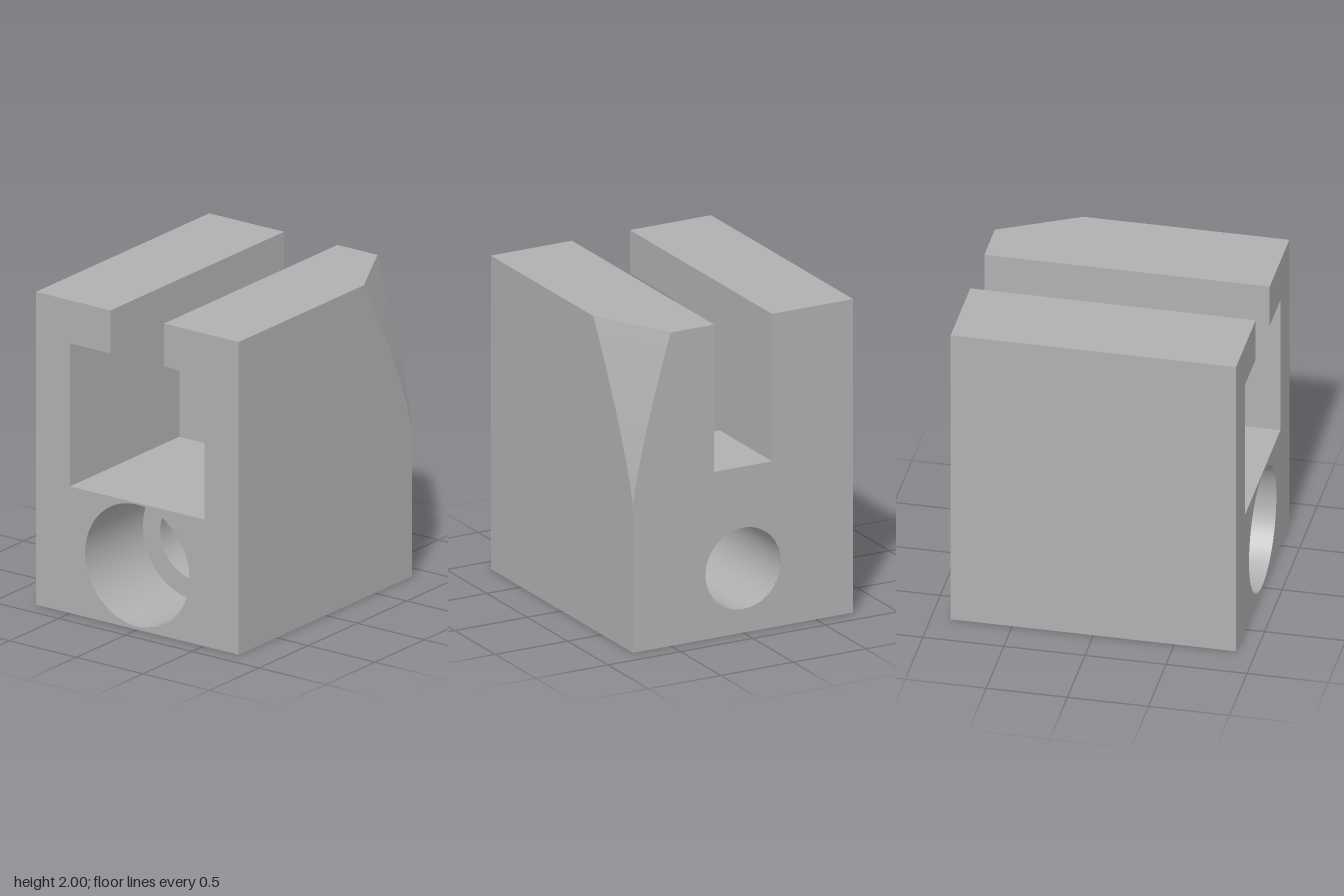
import * as THREE from 'three';
import { mergeGeometries } from 'three/addons/utils/BufferGeometryUtils.js';

// Overall block, slot and bore sizes
const X = 0.76, Z = 0.88, H = 2;
const SLOT = 0.2, SLOT_Y = 1.06;
const WIDE = 0.505, WIDE_Y0 = 0.81, WIDE_Y1 = 1.725, WIDE_Z = -0.23;
const BORE_Y = 0.41, R_FRONT = 0.39, R_BACK = 0.26, SHOULDER_Z = 0.295;

// Curved corner cut: from y = 0.92 at the corner up to the top
const cut = [];
for (let i = 0; i <= 24; i++) {
  const t = i / 24, k = Math.pow(t, 1.27);
  cut.push({ y: 0.92 + 1.08 * t, x: X - 0.26 * k, z: -Z + 0.49 * k });
}

// Flat face on an axis plane: points are [x,y] for z, [z,y] for x, [x,z] for y
function face(axis, dir, at, pts, holeRadius) {
  const flip = { x: [-dir, 1], y: [1, -dir], z: [dir, 1] }[axis];
  const shape = new THREE.Shape(pts.map(([a, b]) => new THREE.Vector2(a * flip[0], b * flip[1])));
  if (holeRadius) {
    shape.holes.push(new THREE.Path().absarc(0, BORE_Y, holeRadius, 0, Math.PI * 2, true));
  }
  const g = new THREE.ShapeGeometry(shape, 64);
  if (axis === 'x') g.rotateY(dir * Math.PI / 2).translate(at, 0, 0);
  if (axis === 'y') g.rotateX(-dir * Math.PI / 2).translate(0, at, 0);
  if (axis === 'z') g.rotateY(dir > 0 ? 0 : Math.PI).translate(0, 0, at);
  return g;
}

const rect = (a0, b0, a1, b1) => [[a0, b0], [a1, b0], [a1, b1], [a0, b1]];

// Inward-facing cylinder wall along z
function boreWall(r, zFront, zBack) {
  const profile = [new THREE.Vector2(r, zFront), new THREE.Vector2(r, zBack)];
  return new THREE.LatheGeometry(profile, 64).rotateX(Math.PI / 2).translate(0, BORE_Y, 0);
}

// Sloped surface between the cut's edges on the back and on the side
function cornerSurface() {
  const pos = [], idx = [];
  cut.forEach((p, i) => {
    pos.push(p.x, p.y, -Z, X, p.y, p.z);
    if (i) {
      const a = 2 * i - 2;
      if (i > 1) idx.push(a, a + 2, a + 1);
      idx.push(a + 2, a + 3, a + 1);
    }
  });
  // The lowest row is one point, so close it with a single triangle
  const g = new THREE.BufferGeometry();
  g.setAttribute('position', new THREE.Float32BufferAttribute(pos, 3));
  g.setIndex(idx);
  g.computeVertexNormals();
  const n = g.attributes.normal;
  n.setXYZ(0, n.getX(1), n.getY(1), n.getZ(1));
  return g;
}

export function createModel() {
  const group = new THREE.Group();
  const grey = new THREE.MeshStandardMaterial({ color: 0xb0b0b0 });
  grey.name = 'grey metal';
  const add = (name, parts) => {
    const mesh = new THREE.Mesh(parts.length > 1 ? mergeGeometries(parts) : parts[0], grey);
    mesh.name = name;
    group.add(mesh);
  };

  // Outer faces
  const top = cut[cut.length - 1];
  add('blockBody', [
    face('z', 1, Z, [[-X, 0], [X, 0], [X, H], [SLOT, H], [SLOT, WIDE_Y1], [WIDE, WIDE_Y1], [WIDE, WIDE_Y0],
      [-WIDE, WIDE_Y0], [-WIDE, WIDE_Y1], [-SLOT, WIDE_Y1], [-SLOT, H], [-X, H]], R_FRONT),
    face('z', -1, -Z, [[-X, 0], [X, 0], ...cut.map(p => [p.x, p.y]), [SLOT, H], [SLOT, SLOT_Y],
      [-SLOT, SLOT_Y], [-SLOT, H], [-X, H]], R_BACK),
    face('x', -1, -X, rect(-Z, 0, Z, H)),
    face('x', 1, X, [[Z, 0], [-Z, 0], ...cut.map(p => [p.z, p.y]), [Z, H]]),
    face('y', -1, 0, rect(-X, -Z, X, Z)),
    face('y', 1, H, rect(-X, -Z, -SLOT, Z)),
    face('y', 1, H, [[SLOT, -Z], [top.x, -Z], [X, top.z], [X, Z], [SLOT, Z]]),
  ]);
  add('cornerCut', [cornerSurface()]);

  // T-shaped slot: narrow all the way through, wide at the front
  const slot = [
    face('y', 1, SLOT_Y, rect(-SLOT, -Z, SLOT, WIDE_Z)),
    face('y', 1, WIDE_Y0, rect(-WIDE, WIDE_Z, WIDE, Z)),
    face('z', 1, WIDE_Z, [[-WIDE, WIDE_Y0], [WIDE, WIDE_Y0], [WIDE, WIDE_Y1], [SLOT, WIDE_Y1],
      [SLOT, SLOT_Y], [-SLOT, SLOT_Y], [-SLOT, WIDE_Y1], [-WIDE, WIDE_Y1]]),
  ];
  for (const s of [1, -1]) {
    slot.push(
      face('x', -s, s * SLOT, [[-Z, SLOT_Y], [WIDE_Z, SLOT_Y], [WIDE_Z, WIDE_Y1], [Z, WIDE_Y1], [Z, H], [-Z, H]]),
      face('x', -s, s * WIDE, rect(WIDE_Z, WIDE_Y0, Z, WIDE_Y1)),
      face('y', -1, WIDE_Y1, rect(s * SLOT, WIDE_Z, s * WIDE, Z)),
    );
  }
  add('tSlot', slot);

  // Stepped bore
  add('steppedBore', [
    boreWall(R_FRONT, Z, SHOULDER_Z),
    boreWall(R_BACK, SHOULDER_Z, -Z),
    new THREE.RingGeometry(R_BACK, R_FRONT, 64).translate(0, BORE_Y, SHOULDER_Z),
  ]);
  return group;
}
